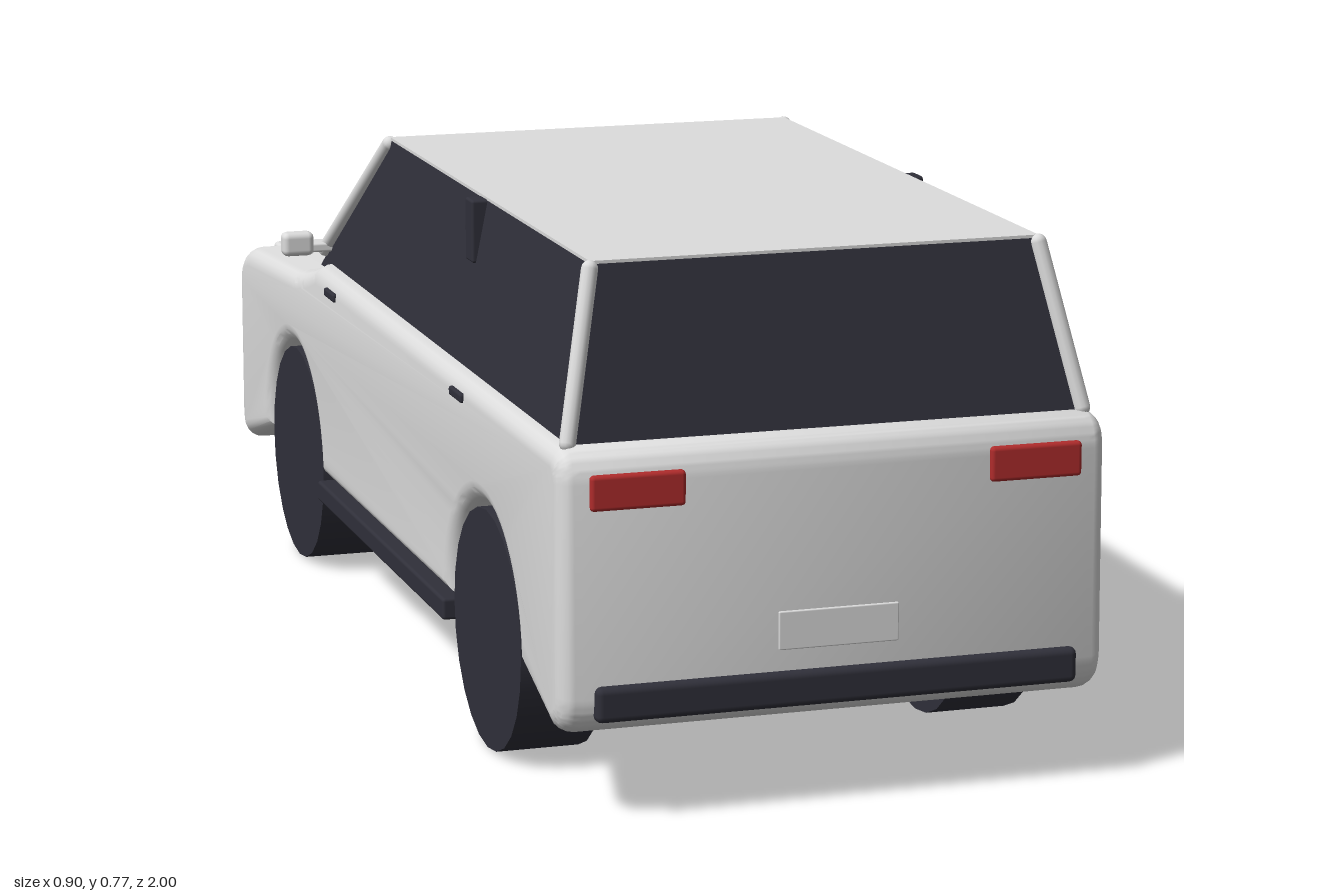
import * as THREE from 'three';
import { toCreasedNormals } from 'three/addons/utils/BufferGeometryUtils.js';
import { RoundedBoxGeometry } from 'three/addons/geometries/RoundedBoxGeometry.js';
import { ConvexGeometry } from 'three/addons/geometries/ConvexGeometry.js';

const paint = new THREE.MeshStandardMaterial({ name: 'whitePaint', color: 0xdddddd });
const dark = new THREE.MeshStandardMaterial({ name: 'darkTrim', color: 0x30303a });
const red = new THREE.MeshStandardMaterial({ name: 'redLens', color: 0xb02c2c });

const V = (x, y, z) => new THREE.Vector3(x, y, z);

export function createModel() {
  const car = new THREE.Group();
  car.name = 'car';

  const add = (name, geometry, material, x = 0, y = 0, z = 0) => {
    const mesh = new THREE.Mesh(geometry, material);
    mesh.name = name;
    mesh.position.set(x, y, z);
    car.add(mesh);
    return mesh;
  };
  // Rounded block given by its limits on each axis
  const block = (name, material, [x0, x1], [y0, y1], [z0, z1], r = 0.006) =>
    add(name, new RoundedBoxGeometry(x1 - x0, y1 - y0, z1 - z0, 2, r), material,
      (x0 + x1) / 2, (y0 + y1) / 2, (z0 + z1) / 2);
  const mirrored = (name, material, [x0, x1], y, z, r) => {
    block(name + 'Left', material, [x0, x1], y, z, r);
    block(name + 'Right', material, [-x1, -x0], y, z, r);
  };

  // Body: side profile (z, y) with wheel arches, bevelled across the width
  const wheelZ = [0.585, -0.582], arch = 0.185, axleY = 0.177;
  const s = new THREE.Shape();
  s.moveTo(0.93, 0.122);
  s.quadraticCurveTo(0.985, 0.125, 0.988, 0.18);
  s.lineTo(0.983, 0.48);
  s.quadraticCurveTo(0.98, 0.528, 0.935, 0.528);
  s.lineTo(-0.41, 0.528);
  s.quadraticCurveTo(-0.5, 0.497, -0.58, 0.488);
  s.lineTo(-0.89, 0.468);
  s.quadraticCurveTo(-0.98, 0.46, -0.984, 0.4);
  s.lineTo(-0.984, 0.17);
  s.quadraticCurveTo(-0.98, 0.125, -0.945, 0.122);
  s.lineTo(wheelZ[1] - arch, axleY);
  s.absarc(wheelZ[1], axleY, arch, Math.PI, 0, true);
  s.lineTo(wheelZ[0] - arch, axleY);
  s.absarc(wheelZ[0], axleY, arch, Math.PI, 0, true);
  s.closePath();
  const bevel = 0.03;
  const bodyGeo = new THREE.ExtrudeGeometry(s, {
    depth: 0.8 - 2 * bevel, bevelThickness: bevel, bevelSize: bevel,
    bevelOffset: -bevel, bevelSegments: 5, curveSegments: 16,
  });
  bodyGeo.translate(0, 0, -0.4 + bevel).rotateY(-Math.PI / 2);
  add('body', toCreasedNormals(bodyGeo, 0.6), paint);

  // Glasshouse
  const roofY = 0.764;
  const corners = [];
  for (const m of [-1, 1]) {
    corners.push(V(m * 0.378, 0.515, 0.945), V(m * 0.374, 0.515, -0.475),
      V(m * 0.328, roofY, 0.886), V(m * 0.328, roofY, -0.192));
  }
  add('windows', new ConvexGeometry(corners), dark);
  add('roof', new THREE.BoxGeometry(0.656, 0.005, 1.078), paint, 0, roofY + 0.002, 0.347);

  // Corner pillars with rounded ends
  const pillar = (name, a, b) => {
    const dir = b.clone().sub(a);
    const mid = a.clone().add(b).multiplyScalar(0.5);
    const mesh = add(name, new THREE.CapsuleGeometry(0.012, dir.length(), 4, 12), paint, mid.x, mid.y, mid.z);
    mesh.quaternion.setFromUnitVectors(V(0, 1, 0), dir.normalize());
  };
  for (const [m, side] of [[1, 'Left'], [-1, 'Right']]) {
    pillar('windscreenPillar' + side, V(m * 0.372, 0.545, -0.452), V(m * 0.328, 0.758, -0.194));
    pillar('tailPillar' + side, V(m * 0.376, 0.53, 0.94), V(m * 0.328, 0.758, 0.886));
  }
  mirrored('doorPillar', dark, [0.325, 0.352], [0.672, 0.765], [0.337, 0.375], 0.004);

  // Side details
  mirrored('mirror', paint, [0.398, 0.45], [0.541, 0.58], [-0.446, -0.416], 0.01);
  mirrored('mirrorArm', paint, [0.36, 0.41], [0.545, 0.56], [-0.438, -0.424], 0.004);
  mirrored('rearHandle', dark, [0.385, 0.405], [0.491, 0.505], [0.43, 0.495], 0.004);
  mirrored('frontHandle', dark, [0.385, 0.405], [0.491, 0.505], [-0.335, -0.272], 0.004);
  mirrored('sideStep', dark, [0.375, 0.406], [0.14, 0.173], [-0.39, 0.392], 0.005);

  // Tail end
  mirrored('tailLight', red, [0.222, 0.358], [0.443, 0.493], [0.965, 0.99]);
  block('numberPlate', paint, [-0.088, 0.088], [0.228, 0.283], [0.975, 0.99], 0.002);
  block('rearBumper', dark, [-0.353, 0.353], [0.147, 0.198], [0.965, 1], 0.01);

  // Nose
  mirrored('headlight', paint, [0.155, 0.337], [0.418, 0.461], [-0.982, -0.935], 0.008);
  block('grille', dark, [-0.205, 0.205], [0.215, 0.287], [-0.994, -0.965]);
  block('frontBumper', dark, [-0.355, 0.355], [0.14, 0.19], [-1, -0.965], 0.01);

  // Wheels
  const disc = (r, w) => new THREE.CylinderGeometry(r, r, w, 24).rotateZ(-Math.PI / 2);
  for (const z of wheelZ) {
    for (const m of [-1, 1]) {
      add((z > 0 ? 'rear' : 'front') + 'Wheel' + (m > 0 ? 'Left' : 'Right'),
        disc(0.177, 0.123), dark, m * 0.3305, axleY, z);
    }
  }
  // Raised tyre wall and hub on one front wheel
  add('tyreWall', disc(0.142, 0.006), dark, 0.393, 0.184, wheelZ[1]);
  add('hubCap', disc(0.095, 0.008), paint, 0.394, 0.188, wheelZ[1]);

  return car;
}
